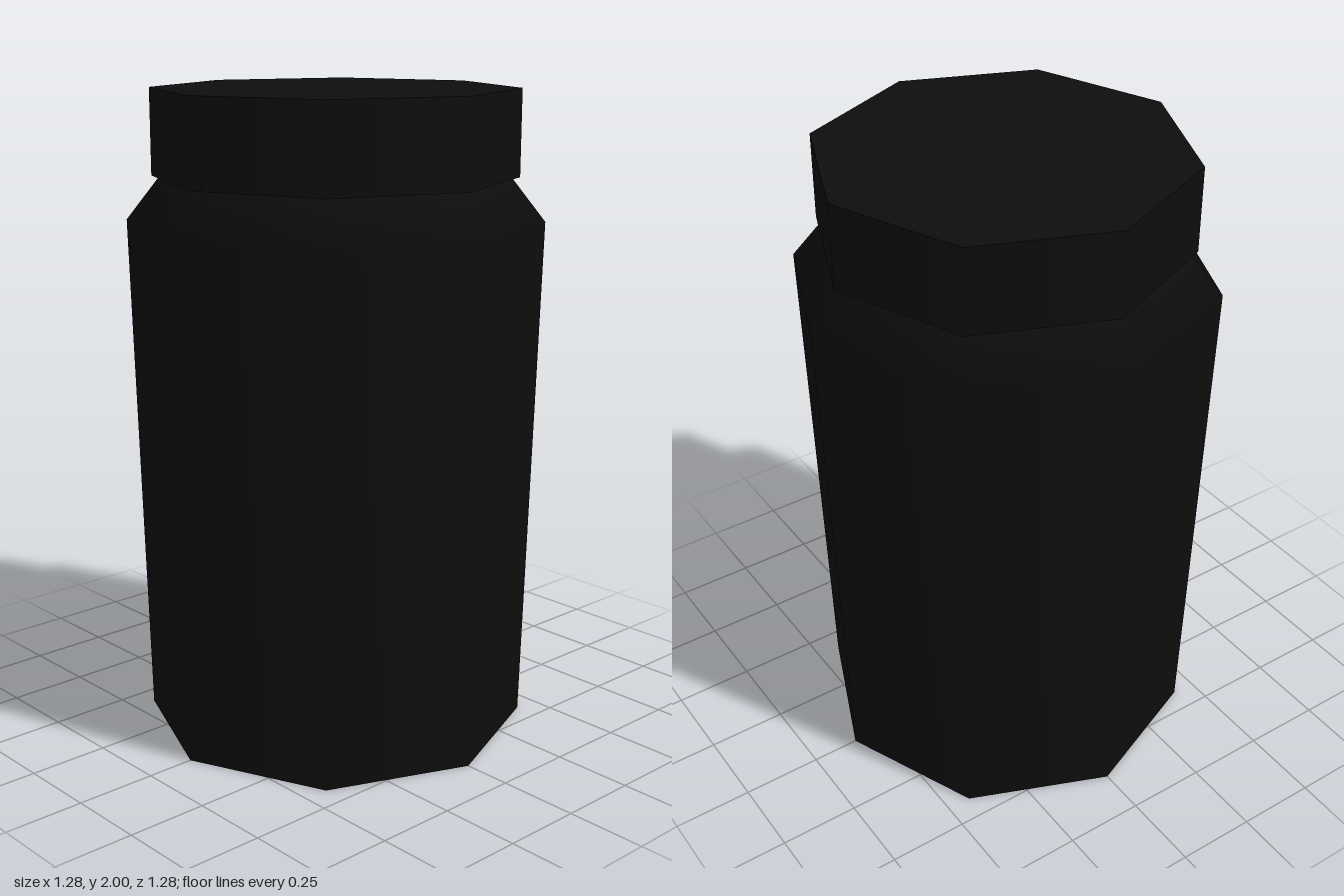
import * as THREE from 'three';

const SIDES = 8;

export function createModel() {
  const model = new THREE.Group();
  model.name = 'jar';

  const black = new THREE.MeshStandardMaterial({ color: 0x0d0d0d });
  black.name = 'black';

  const add = (name, geometry, y = 0) => {
    const mesh = new THREE.Mesh(geometry, black);
    mesh.name = name;
    mesh.position.y = y;
    model.add(mesh);
    return mesh;
  };

  // Tapered body with a sloping shoulder, smooth around its eight sides
  const profile = [[0.6, 0], [0.64, 1.6], [0.53, 1.74]];
  add('body', new THREE.LatheGeometry(profile.map(([r, y]) => new THREE.Vector2(r, y)), SIDES));

  // Flat base, facing down
  add('base', new THREE.CircleGeometry(0.6, SIDES).rotateX(Math.PI / 2));

  // Overhanging lid, closed above and below
  const lidHeight = 0.265;
  add('lid', new THREE.CylinderGeometry(0.56, 0.56, lidHeight, SIDES), 2 - lidHeight / 2);

  return model;
}
